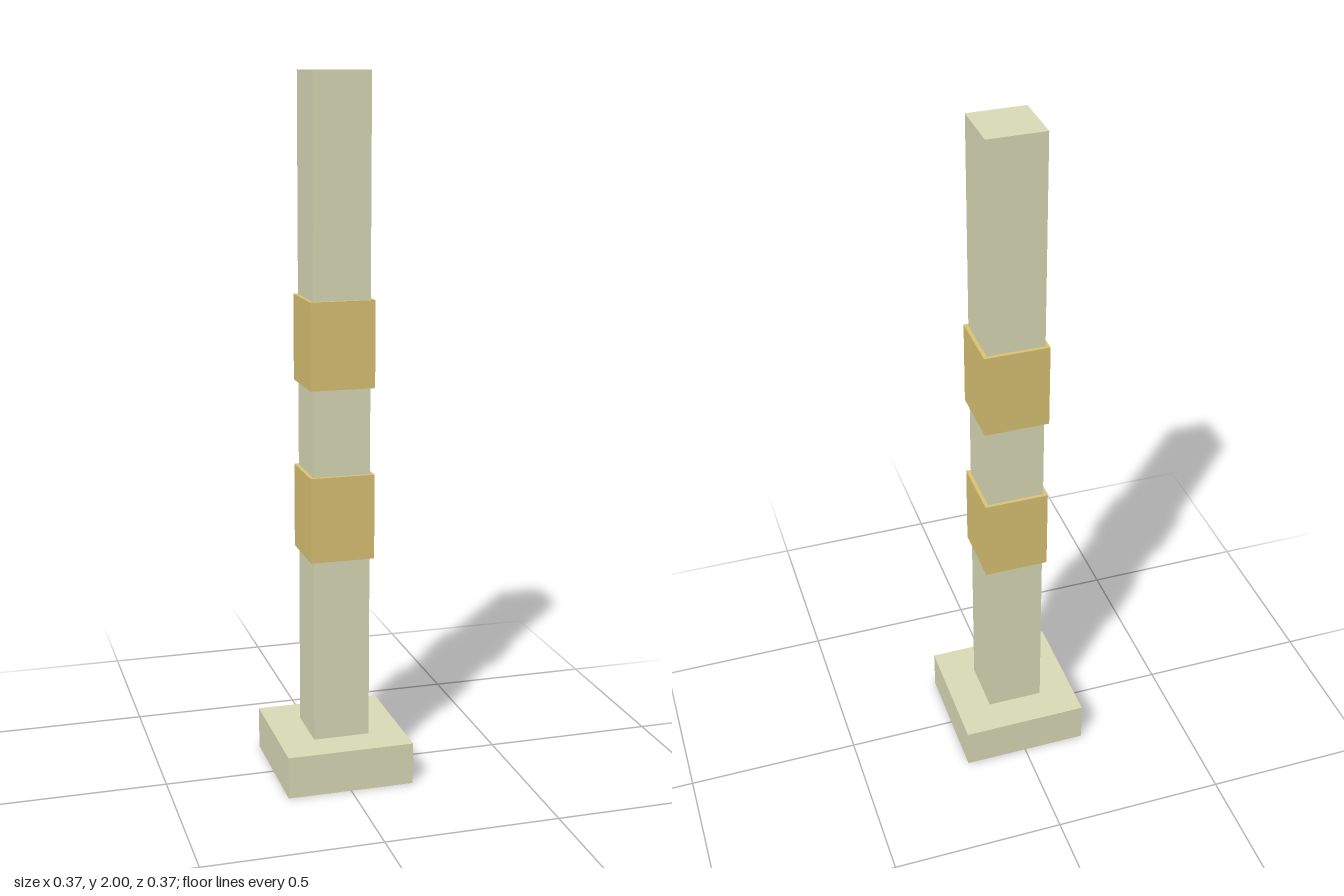
import * as THREE from 'three';

const stone = new THREE.MeshStandardMaterial({ color: 0xdadcb8 });
const ochre = new THREE.MeshStandardMaterial({ color: 0xdcc474 });

// Square block of a given width, standing between two heights
function block(name, width, bottom, top, material) {
  const mesh = new THREE.Mesh(new THREE.BoxGeometry(width, top - bottom, width), material);
  mesh.position.y = (bottom + top) / 2;
  mesh.name = name;
  return mesh;
}

export function createModel() {
  const group = new THREE.Group();
  group.name = 'bollardPost';

  // Plinth and the post rising from it
  group.add(block('base', 0.367, 0, 0.122, stone));
  group.add(block('post', 0.163, 0.122, 2, stone));

  // Two coloured bands wrapped around the post
  [['lowerBand', 0.656], ['upperBand', 1.146]].forEach(([name, bottom]) => {
    group.add(block(name, 0.184, bottom, bottom + 0.244, ochre));
  });

  return group;
}
